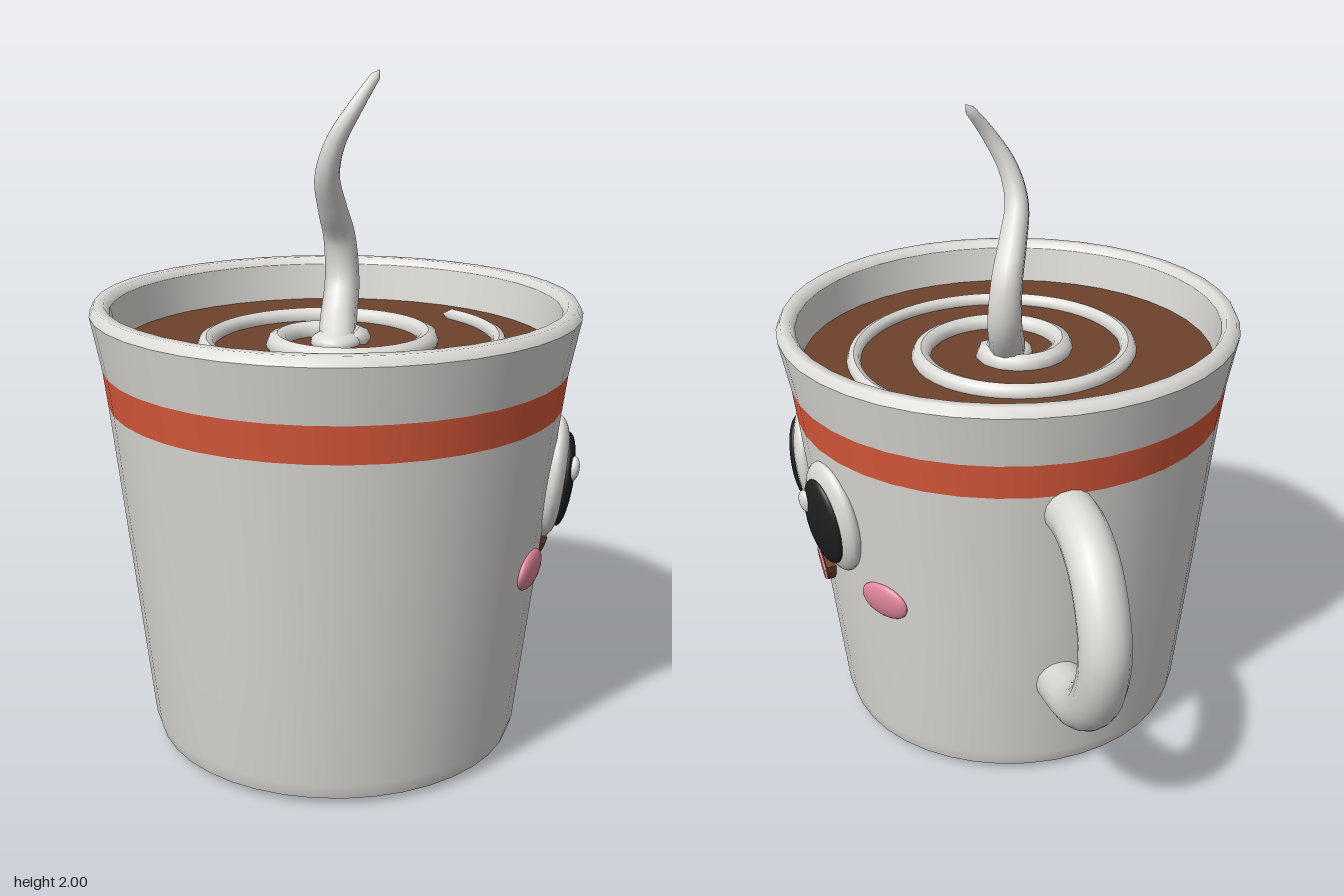
import * as THREE from 'three';

const mat = (name, color, side = THREE.FrontSide) => {
  const m = new THREE.MeshStandardMaterial({ color, side });
  m.name = name;
  return m;
};

// Tube through points whose radius follows radiusAt(t); zero radius closes an end
function taperedTube(points, segments, sides, radiusAt) {
  const curve = new THREE.CatmullRomCurve3(points);
  const geo = new THREE.TubeGeometry(curve, segments, 1, sides);
  const pos = geo.attributes.position;
  const v = new THREE.Vector3();
  for (let i = 0; i <= segments; i++) {
    const c = curve.getPointAt(i / segments);
    for (let j = 0; j <= sides; j++) {
      const k = i * (sides + 1) + j;
      v.fromBufferAttribute(pos, k).sub(c).multiplyScalar(radiusAt(i / segments)).add(c);
      pos.setXYZ(k, v.x, v.y, v.z);
    }
  }
  geo.computeVertexNormals();
  return geo;
}

export function createModel() {
  const model = new THREE.Group();
  const ceramic = mat('ceramic white', 0xdddbd7);
  const red = mat('stripe red', 0xdb5a3c);
  const coffee = mat('coffee brown', 0x6e422c);
  const black = mat('pupil black', 0x1f1f1f);
  const pink = mat('pink', 0xe0869a);
  const cz = 0.175; // cup axis
  const liquidY = 1.21;

  const add = (name, geo, material, parent = model) => {
    const m = new THREE.Mesh(geo, material);
    m.name = name;
    parent.add(m);
    return m;
  };

  // Cup wall, turned in sections that meet at the edges
  const cup = new THREE.Group();
  cup.name = 'cup';
  cup.position.z = cz;
  model.add(cup);
  const turned = (name, profile, material) =>
    add(name, new THREE.LatheGeometry(profile.map(p => new THREE.Vector2(...p)), 40), material, cup);
  turned('base', [[0, 0], [0.5, 0]], ceramic);
  turned('foot', [[0.5, 0], [0.545, 0.022]], ceramic);
  turned('body', [[0.545, 0.022], [0.56, 0.07], [0.615, 0.55], [0.672, 1.052]], ceramic);
  turned('stripe', [[0.672, 1.052], [0.686, 1.16]], red);
  turned('upperWall', [[0.686, 1.16], [0.7, 1.23], [0.718, 1.32]], ceramic);
  turned('rim', [[0.718, 1.32], [0.704, 1.347], [0.675, 1.347], [0.66, 1.325]], ceramic);
  turned('innerWall', [[0.66, 1.325], [0.64, 1.17]], ceramic);
  turned('coffee', [[0.65, liquidY], [0, liquidY]], coffee);

  // Cream spiral floating on the coffee
  const spiral = [];
  for (let a = -36; a <= 780; a += 18) {
    const r = 0.51 - 0.00058 * (a + 36);
    const t = THREE.MathUtils.degToRad(a);
    spiral.push(new THREE.Vector3(r * Math.cos(t), liquidY + 0.008, r * Math.sin(t)));
  }
  add('creamSpiral', taperedTube(spiral, 90, 8,
    t => t === 0 || t === 1 ? 0 : 0.021 + 0.014 * t), ceramic, cup);
  const blob = add('creamCentre', new THREE.SphereGeometry(0.075, 20, 12), ceramic, cup);
  blob.scale.y = 0.5;
  blob.position.y = liquidY + 0.005;

  // Steam wisp
  const steam = [[0, 1.2, 0.19], [0.025, 1.27, 0.1], [0.048, 1.37, 0.04], [0.04, 1.5, 0.04],
    [0.005, 1.6, 0.1], [-0.022, 1.7, 0.155], [-0.005, 1.8, 0.19], [0.05, 1.9, 0.205],
    [0.125, 2, 0.18]].map(p => new THREE.Vector3(...p));
  add('steam', taperedTube(steam, 40, 10,
    t => t === 1 ? 0 : 0.057 - 0.034 * t * t - 0.01 * t), ceramic);

  // Handle at the back
  const handle = [[0.985, -0.42], [0.992, -0.6], [0.92, -0.735], [0.74, -0.822],
    [0.55, -0.765], [0.42, -0.62], [0.345, -0.36]].map(p => new THREE.Vector3(0, ...p));
  add('handle', new THREE.TubeGeometry(new THREE.CatmullRomCurve3(handle), 32, 0.075, 16), ceramic);

  // Anchor on the wall: local +z points out of the cup, local -x runs towards the front
  const onWall = (name, offset, y) => {
    const r = 0.553 + 0.113 * y;
    const g = new THREE.Group();
    g.name = name;
    g.position.set(Math.sqrt(r * r - offset * offset), y, offset);
    g.rotation.set(0.114, Math.PI / 2 - Math.asin(offset / r), 0, 'YXZ');
    cup.add(g);
    return g;
  };
  const ellipsoid = (name, size, at, material, parent) => {
    const m = add(name, new THREE.SphereGeometry(1, 24, 16), material, parent);
    m.scale.set(...size);
    m.position.set(...at);
  };

  // Eyes and cheeks, in pairs
  for (const s of [1, -1]) {
    const side = s > 0 ? 'front' : 'back';
    const eye = onWall(side + 'Eye', s * 0.212, 0.825);
    ellipsoid('eyeWhite', [0.143, 0.186, 0.05], [0, 0, 0], ceramic, eye);
    ellipsoid('pupil', [0.106, 0.144, 0.032], [0, -0.004, 0.034], black, eye);
    ellipsoid('highlight', [0.029, 0.037, 0.018], [-0.058, 0.052, 0.056], ceramic, eye);
    const cheek = onWall(side + 'Cheek', s * 0.378, 0.605);
    ellipsoid('cheek', [0.088, 0.059, 0.022], [0, 0, 0], pink, cheek);
  }

  // Open mouth with tongue
  const mouth = onWall('mouth', 0, 0.605);
  const plate = (name, shape, z, depth, material) => {
    const geo = new THREE.ExtrudeGeometry(shape, { depth, bevelEnabled: false, curveSegments: 16 });
    add(name, geo, material, mouth).position.z = z;
  };
  const smile = new THREE.Shape();
  smile.moveTo(-0.142, 0);
  smile.bezierCurveTo(-0.11, -0.135, 0.11, -0.135, 0.142, 0);
  plate('mouthOpening', smile, -0.025, 0.037, coffee);
  const tongue = new THREE.Shape();
  tongue.moveTo(-0.08, -0.078);
  tongue.quadraticCurveTo(0, -0.124, 0.08, -0.078);
  tongue.lineTo(0.076, -0.05);
  tongue.quadraticCurveTo(0, -0.034, -0.076, -0.05);
  plate('tongue', tongue, 0.01, 0.009, pink);

  return model;
}
